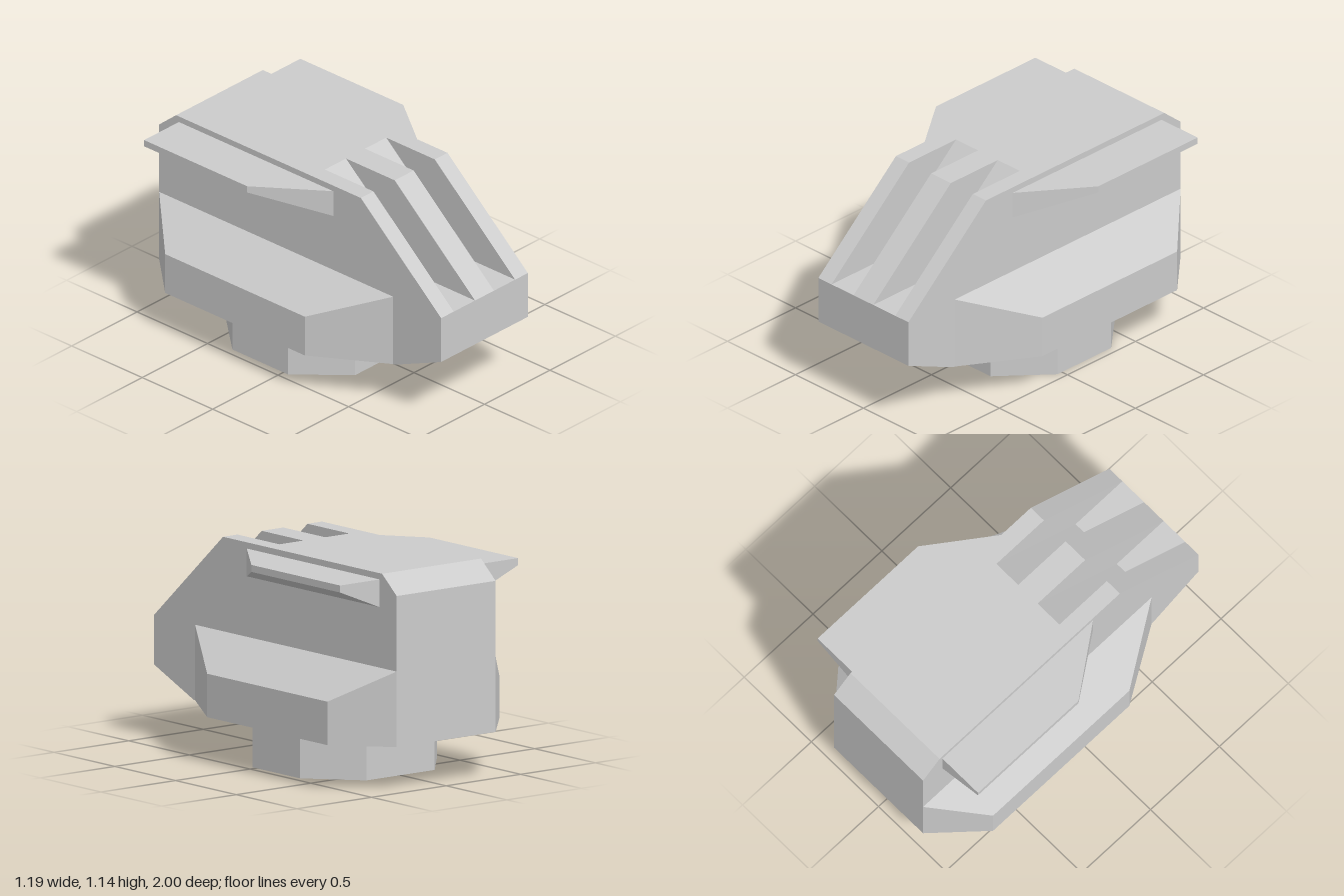
import * as THREE from 'three';

const HALF = 0.3315; // half width of the main body
const material = new THREE.MeshStandardMaterial({ color: 0xcccccc, flatShading: true });

function part(name, geometry) {
  const mesh = new THREE.Mesh(geometry, material);
  mesh.name = name;
  return mesh;
}

const outline = (points) => new THREE.Shape(points.map(([a, b]) => new THREE.Vector2(a, b)));

// Side profile of [z, y] points, extruded across x from x0 to x1
function crosswise(points, x0, x1) {
  return new THREE.ExtrudeGeometry(outline(points), { depth: x1 - x0, bevelEnabled: false })
    .rotateY(-Math.PI / 2)
    .translate(x1, 0, 0);
}

// Box running from a rectangle on the body side to a smaller one further out
function taperedBox(side, inner, outer) {
  const geometry = new THREE.BoxGeometry(1, 1, 1);
  const pos = geometry.attributes.position;
  for (let i = 0; i < pos.count; i++) {
    const end = pos.getX(i) * side > 0 ? outer : inner;
    const y = pos.getY(i) > 0 ? end.top : end.bottom;
    const z = pos.getZ(i) > 0 ? end.front : end.back;
    pos.setXYZ(i, side * end.x, y, z);
  }
  geometry.computeVertexNormals();
  return geometry;
}

export function createModel() {
  const group = new THREE.Group();

  // Octagonal mounting base
  const a = 0.459, bx = 0.229, bz = 0.197;
  const octagon = outline([[a, -bz], [a, bz], [bx, a], [-bx, a], [-a, bz], [-a, -bz], [-bx, -a], [bx, -a]]);
  group.add(part('base', new THREE.ExtrudeGeometry(octagon, { depth: 0.245, bevelEnabled: false })
    .rotateX(-Math.PI / 2)
    .translate(0, 0, -0.165)));

  // Main body, with its sloped front set back behind the fins
  group.add(part('body', crosswise([
    [0.67, 0.245], [1, 0.385], [1, 0.645], [0.66, 0.645],
    [0.085, 1.145], [-0.88, 1.145], [-1, 1.045], [-1, 0.245],
  ], -HALF, HALF)));

  // Three sloped fins with two slots between them
  const fin = [[0.66, 0.645], [1, 0.645], [0.43, 1.145], [0.085, 1.145]];
  for (const [x0, x1] of [[-HALF, -0.2345], [-0.0725, 0.0725], [0.2345, HALF]]) {
    group.add(part('frontFin', crosswise(fin, x0, x1)));
  }

  // Mirrored side blocks and upper wings
  for (const [side, label] of [[1, 'left'], [-1, 'right']]) {
    group.add(part(label + 'SideBlock', taperedBox(side,
      { x: HALF, bottom: 0.245, top: 0.645, front: 0.66, back: -1 },
      { x: 0.576, bottom: 0.245, top: 0.475, front: 0.26, back: -0.73 })));
    group.add(part(label + 'Wing', taperedBox(side,
      { x: HALF, bottom: 0.965, top: 1.112, front: 0.235, back: -0.86 },
      { x: 0.597, bottom: 1.075, top: 1.112, front: -0.13, back: -0.86 })));
  }
  return group;
}
